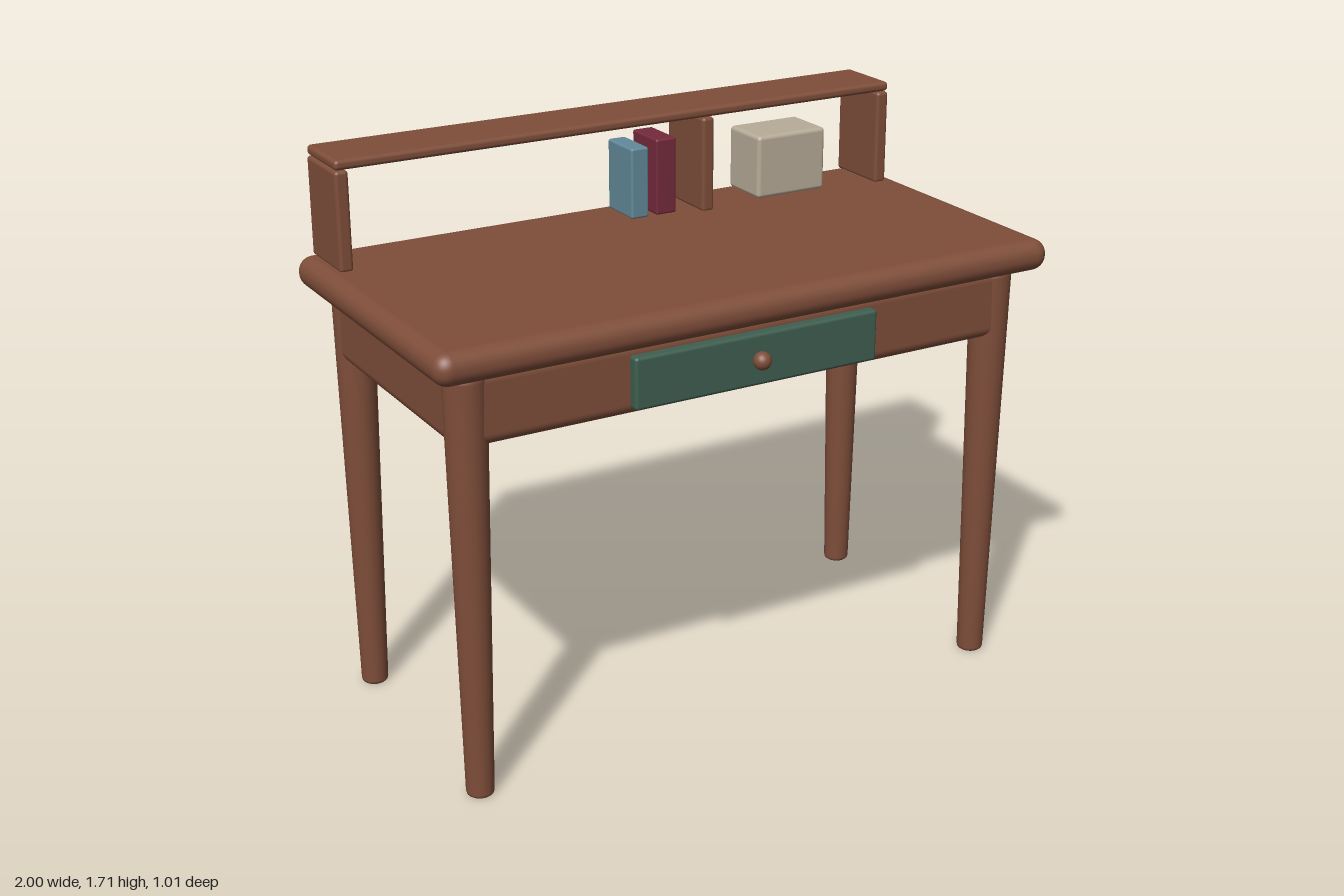
import * as THREE from 'three';
import { RoundedBoxGeometry } from 'three/addons/geometries/RoundedBoxGeometry.js';

const material = (name, color) => {
  const m = new THREE.MeshStandardMaterial({ color });
  m.name = name;
  return m;
};

export function createModel() {
  const wood = material('brown wood', 0x7f4e3a);
  const green = material('green paint', 0x3f5f50);
  const blue = material('blue cover', 0x628a9a);
  const maroon = material('maroon cover', 0x752a3b);
  const cream = material('cream box', 0xb8ac98);

  const desk = new THREE.Group();
  desk.name = 'desk';

  // Rounded block given by its extents along each axis
  const block = (name, mat, [x0, x1], [y0, y1], [z0, z1], radius) => {
    const geometry = new RoundedBoxGeometry(x1 - x0, y1 - y0, z1 - z0, 4, radius);
    const mesh = new THREE.Mesh(geometry, mat);
    mesh.name = name;
    mesh.position.set((x0 + x1) / 2, (y0 + y1) / 2, (z0 + z1) / 2);
    desk.add(mesh);
  };

  // Tabletop and the solid body beneath it
  block('tabletop', wood, [-1, 1], [1.288, 1.384], [-0.505, 0.505], 0.046);
  block('apron', wood, [-0.925, 0.925], [1.08, 1.295], [-0.435, 0.435], 0.035);

  // Tapered round legs with softened ends
  const legProfile = [
    [0, 0], [0.034, 0], [0.039, 0.004], [0.041, 0.012],
    [0.062, 1.268], [0.06, 1.28], [0.052, 1.29], [0, 1.29],
  ].map(([r, y]) => new THREE.Vector2(r, y));
  const legGeometry = new THREE.LatheGeometry(legProfile, 32);
  for (const sx of [-1, 1]) {
    for (const sz of [-1, 1]) {
      const leg = new THREE.Mesh(legGeometry, wood);
      leg.name = `${sz > 0 ? 'front' : 'back'}${sx > 0 ? 'Left' : 'Right'}Leg`;
      leg.position.set(sx * 0.872, 0, sz * 0.383);
      desk.add(leg);
    }
  }

  // Drawer front and knob
  block('drawerFront', green, [-0.4, 0.4], [1.104, 1.259], [0.425, 0.466], 0.01);
  const knob = new THREE.Mesh(new THREE.SphereGeometry(0.027, 24, 16), wood);
  knob.name = 'drawerKnob';
  knob.position.set(0, 1.182, 0.478);
  desk.add(knob);

  // Raised shelf on three uprights
  const shelfDepth = [-0.49, -0.274];
  block('shelf', wood, [-0.945, 0.945], [1.68, 1.71], shelfDepth, 0.012);
  for (const [name, x] of [['rightUpright', -0.925], ['divider', 0.275], ['leftUpright', 0.925]]) {
    block(name, wood, [x - 0.021, x + 0.021], [1.38, 1.678], shelfDepth, 0.011);
  }

  // Books and storage box
  block('blueBook', blue, [0.023, 0.083], [1.383, 1.604], [-0.46, -0.31], 0.007);
  block('maroonBook', maroon, [0.11, 0.18], [1.383, 1.622], [-0.46, -0.31], 0.007);
  block('storageBox', cream, [0.473, 0.723], [1.383, 1.584], [-0.475, -0.3], 0.013);

  return desk;
}
